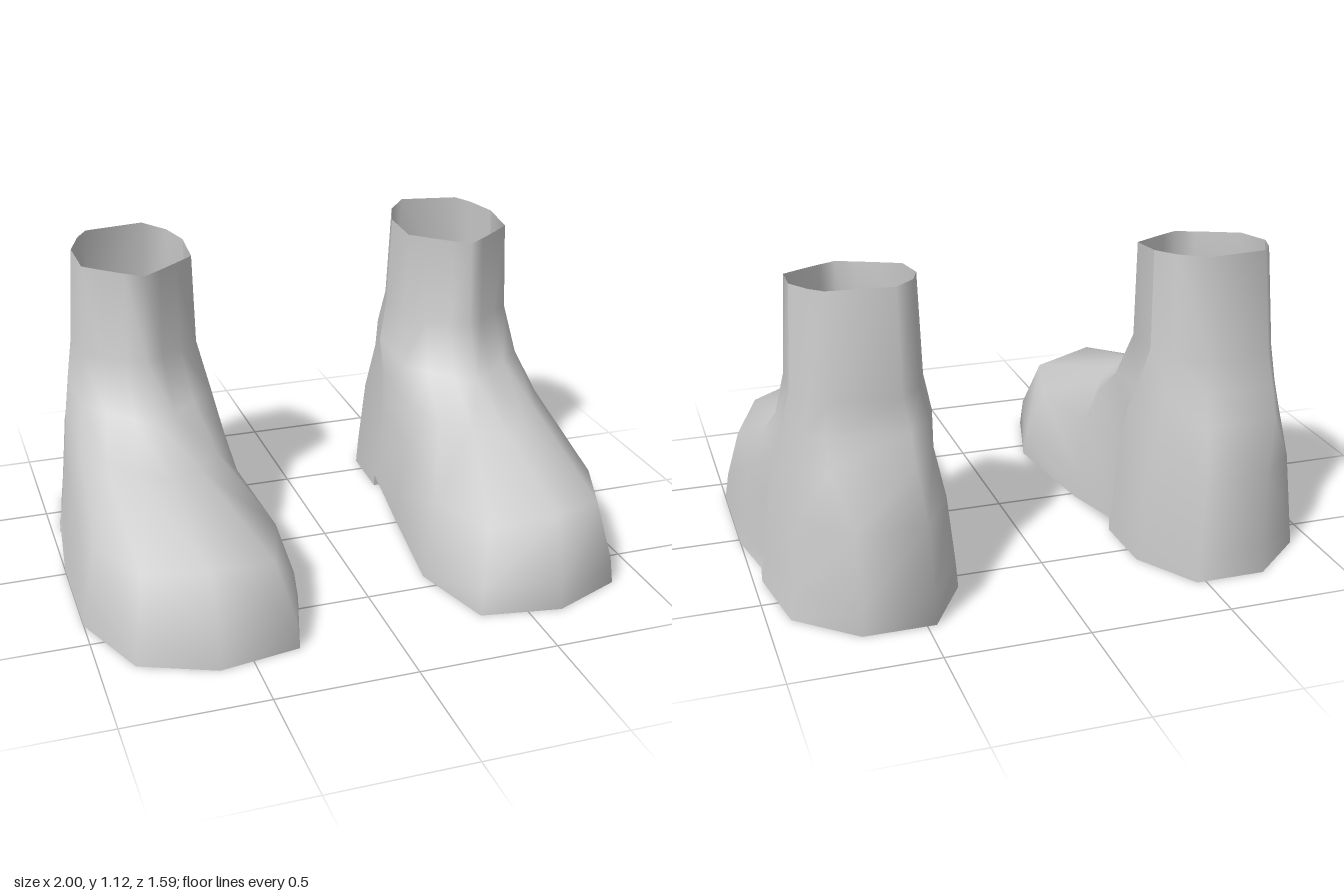
import * as THREE from 'three';

// Plan outlines as [side -1..1, heel 0..toe 1], starting at the toe and running round the outer side.
// The doubled point on each side forms the step in front of the heel.
const FOOT = [[0, 1], [0.68, 0.93], [1, 0.74], [1, 0.485], [0.92, 0.297], [0.92, 0.293], [0.79, 0.11], [0.26, 0],
  [-0.4, 0], [-0.76, 0.14], [-0.78, 0.293], [-0.78, 0.297], [-0.84, 0.485], [-1, 0.77], [-0.76, 0.97]];
const SHAFT = [[0, 1], [0.3, 0.92], [0.64, 0.82], [0.95, 0.72], [1, 0.402], [1, 0.398], [0.8, 0.18], [0.6, 0.06],
  [-0.45, 0], [-0.82, 0.18], [-1, 0.398], [-1, 0.402], [-0.97, 0.72], [-0.64, 0.82], [-0.3, 0.92]];
const N = FOOT.length;

// Rings from the sole to the collar: blend = 0 foot outline, 1 shaft outline
const RINGS = [
  { x: [0.24, 1.0], z: [-0.8, 0.79], y: [0, 0], dip: 0, blend: 0 },
  { x: [0.252, 0.985], z: [-0.8, 0.783], y: [0.1, 0.1], dip: 0, blend: 0 },
  { x: [0.29, 0.955], z: [-0.79, 0.71], y: [0.36, 0.33], dip: 0.08, blend: 0.12 },
  { x: [0.355, 0.915], z: [-0.74, 0.25], y: [0.55, 0.44], dip: 0.04, blend: 0.8 },
  { x: [0.375, 0.885], z: [-0.7, -0.02], y: [0.65, 0.545], dip: 0, blend: 1 },
  { x: [0.41, 0.86], z: [-0.67, -0.13], y: [0.76, 0.74], dip: 0, blend: 1 },
  { x: [0.42, 0.84], z: [-0.63, -0.13], y: [1.12, 1.07], dip: 0, blend: 1 },
];

const lerp = THREE.MathUtils.lerp;

function ringPoints(ring, side) {
  return FOOT.map(([fu, ft], i) => {
    const u = lerp(fu, SHAFT[i][0], ring.blend);
    const t = lerp(ft, SHAFT[i][1], ring.blend);
    const x = lerp(ring.x[0], ring.x[1], (u + 1) / 2);
    let y = lerp(ring.y[0], ring.y[1], t) - ring.dip * u * u * t;
    // raised arch in front of the heel
    if (ring === RINGS[0] && (i === 4 || i === 11)) y = 0.05;
    return [side * x, y, lerp(ring.z[0], ring.z[1], t)];
  });
}

function surface(points, faces, side) {
  const geometry = new THREE.BufferGeometry();
  geometry.setAttribute('position', new THREE.Float32BufferAttribute(points.flat(), 3));
  geometry.setIndex(faces.flatMap(([a, b, c]) => (side > 0 ? [a, b, c] : [a, c, b])));
  return geometry;
}

// Smooth upper lofted through the rings, open at the collar
function upperGeometry(side) {
  const points = RINGS.flatMap((ring) => ringPoints(ring, side));
  const faces = [];
  for (let r = 0; r < RINGS.length - 1; r++) {
    for (let i = 0; i < N; i++) {
      const a = r * N + i, b = r * N + (i + 1) % N;
      faces.push([a, b, b + N], [a, b + N, a + N]);
    }
  }
  const geometry = surface(points, faces, side);
  geometry.computeVertexNormals();
  return geometry;
}

// Flat sole with arch and heel step, bridged from side to side
function soleGeometry(side) {
  const faces = [[0, N - 1, 1]];
  for (let i = 1; i < 7; i++) {
    faces.push([i, N - i, i + 1], [i + 1, N - i, N - i - 1]);
  }
  const geometry = surface(ringPoints(RINGS[0], side), faces, side).toNonIndexed();
  geometry.computeVertexNormals();
  return geometry;
}

export function createModel() {
  const material = new THREE.MeshStandardMaterial({ color: 0xcccccc, side: THREE.DoubleSide });
  const model = new THREE.Group();
  model.name = 'boots';
  for (const [name, side] of [['leftBoot', 1], ['rightBoot', -1]]) {
    const boot = new THREE.Group();
    boot.name = name;
    const upper = new THREE.Mesh(upperGeometry(side), material);
    upper.name = 'upper';
    const sole = new THREE.Mesh(soleGeometry(side), material);
    sole.name = 'sole';
    boot.add(upper, sole);
    model.add(boot);
  }
  return model;
}
